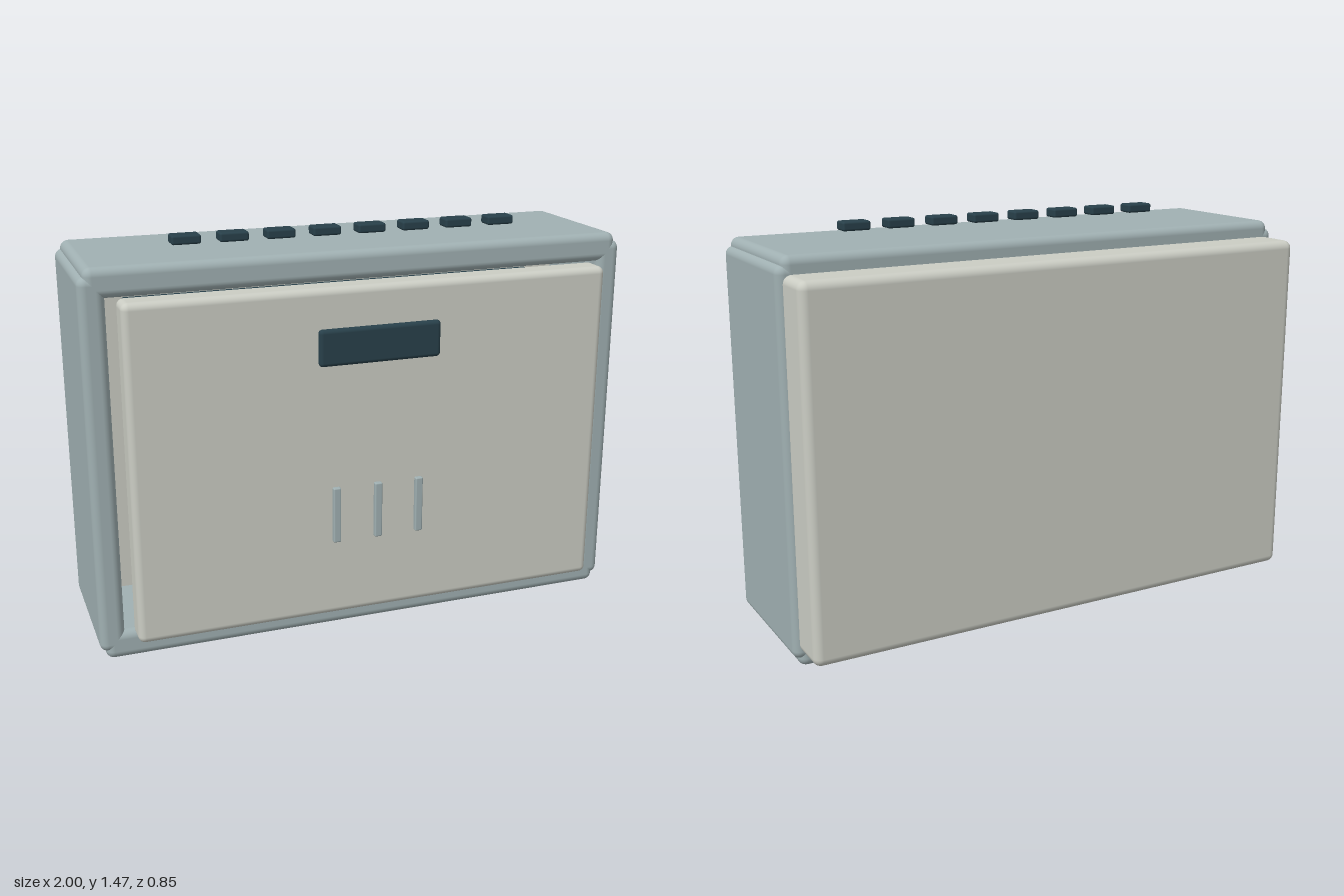
import * as THREE from 'three';
import { RoundedBoxGeometry } from 'three/addons/geometries/RoundedBoxGeometry.js';

const material = (color) => new THREE.MeshStandardMaterial({ color });

export function createModel() {
  const model = new THREE.Group();
  const steel = material(0xa0b0b2);
  const cream = material(0xcbcdc4);
  const dark = material(0x28404a);
  const copper = material(0xc98d4b);
  const cyan = material(0x4fd0dc);

  const add = (name, geometry, mat, parent = model) => {
    const mesh = new THREE.Mesh(geometry, mat);
    mesh.name = name;
    parent.add(mesh);
    return mesh;
  };

  // Rounded box given by its extents on each axis
  const block = (name, [x0, x1], [y0, y1], [z0, z1], radius, mat, parent) => {
    const geometry = new RoundedBoxGeometry(x1 - x0, y1 - y0, z1 - z0, 4, radius);
    geometry.translate((x0 + x1) / 2, (y0 + y1) / 2, (z0 + z1) / 2);
    return add(name, geometry, mat, parent);
  };

  // Case frame: four thick rails
  const frame = new THREE.Group();
  frame.name = 'frame';
  model.add(frame);
  const depth = [-0.275, 0.285];
  block('bottomRail', [-0.98, 0.98], [0, 0.105], depth, 0.03, steel, frame);
  block('topRail', [-0.98, 0.98], [1.31, 1.415], depth, 0.03, steel, frame);
  block('leftRail', [0.91, 1], [0.03, 1.385], depth, 0.03, steel, frame);
  block('rightRail', [-1, -0.91], [0.03, 1.385], depth, 0.03, steel, frame);

  // Back cover, inner backing plate and front door
  block('backCover', [-0.98, 0.98], [0.06, 1.355], [-0.425, -0.25], 0.03, cream);
  block('backingPlate', [-0.93, 0.93], [0.08, 1.33], [-0.26, -0.08], 0.01, cream);
  block('door', [-0.88, 0.88], [0.1, 1.315], [0.28, 0.392], 0.025, cream);

  // Display and grip bars on the door
  block('display', [-0.225, 0.22], [1.05, 1.18], [0.398, 0.428], 0.014, dark);
  for (const x of [-0.16, -0.004, 0.152]) {
    block('gripBar', [x - 0.014, x + 0.014], [0.395, 0.602], [0.4, 0.421], 0.005, steel);
  }

  // Row of buttons above the top rail
  for (let i = 0; i < 8; i++) {
    const x = -0.595 + i * 0.17;
    block('button', [x - 0.052, x + 0.052], [1.437, 1.47], [0.038, 0.103], 0.008, dark);
  }

  // Circuit board with rivets, contact strips and cables
  const interior = new THREE.Group();
  interior.name = 'interior';
  model.add(interior);
  block('circuitBoard', [-0.8, 0.8], [0.19, 1.23], [-0.085, -0.04], 0.01, dark, interior);
  for (const side of [-1, 1]) {
    for (const y of [0.31, 1.11]) {
      add('rivet', new THREE.SphereGeometry(0.03, 20, 14), copper, interior)
        .position.set(side * 0.71, y, -0.025);
    }
    for (const y of [0.51, 1.01]) {
      const x = side * 0.67;
      block('contactStrip', [x - 0.03, x + 0.03], [y - 0.07, y + 0.07], [-0.05, -0.02], 0.006, copper, interior);
    }
  }
  for (const [y, bend] of [[0.84, 0.06], [0.59, -0.06]]) {
    const path = new THREE.CatmullRomCurve3([
      new THREE.Vector3(-0.76, y, 0),
      new THREE.Vector3(-0.35, y + bend, 0.03),
      new THREE.Vector3(0, y, 0.04),
      new THREE.Vector3(0.35, y + bend, 0.03),
      new THREE.Vector3(0.76, y, 0),
    ]);
    add('cable', new THREE.TubeGeometry(path, 48, 0.018, 10), cyan, interior);
  }

  return model;
}
